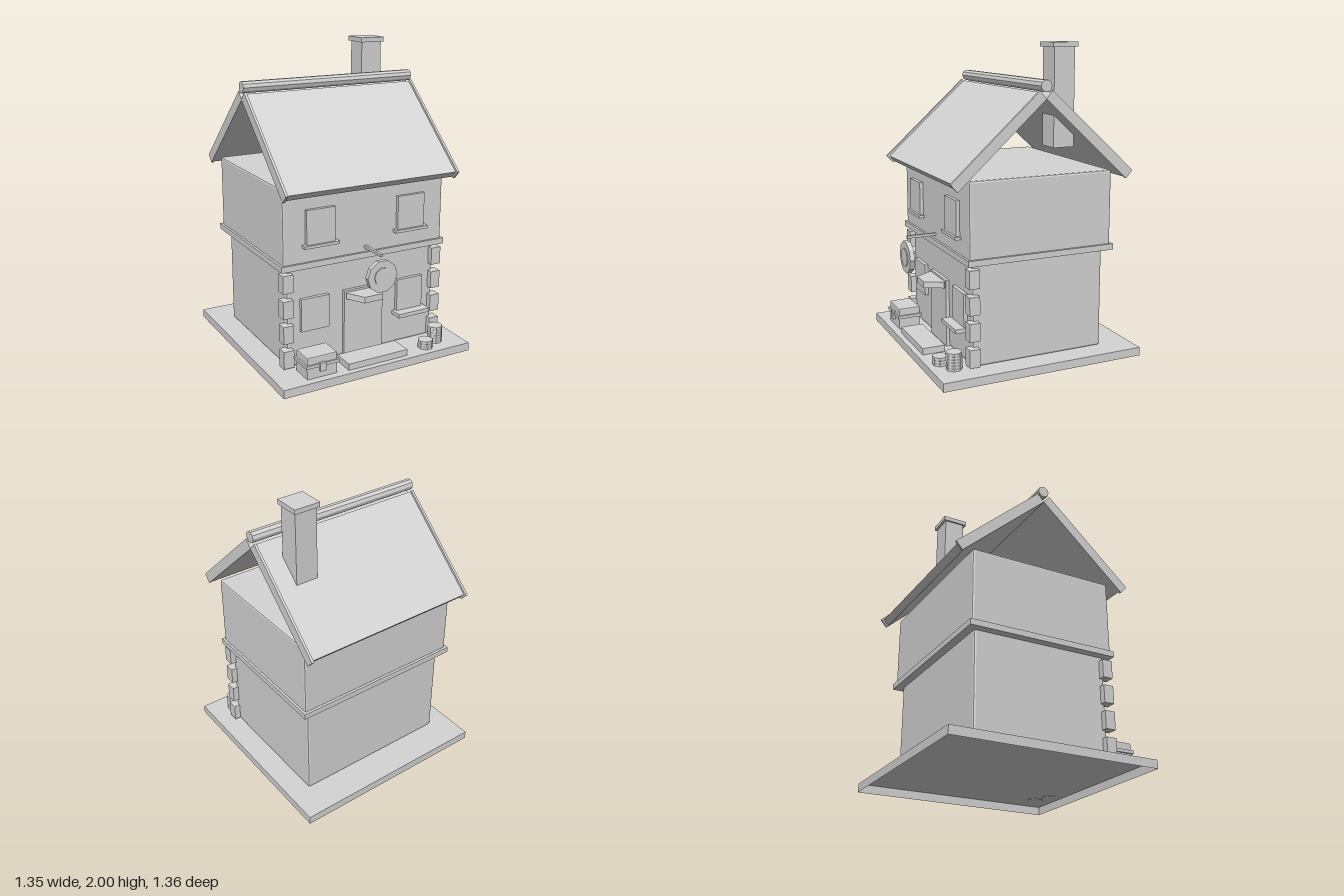
import * as THREE from 'three';
import { RoundedBoxGeometry } from 'three/addons/geometries/RoundedBoxGeometry.js';

export function createModel() {
  const house = new THREE.Group();
  house.name = 'house';
  const stone = new THREE.MeshStandardMaterial({ color: 0xd4d4d4, flatShading: true, side: THREE.DoubleSide });
  stone.name = 'paleGrey';
  const ZC = -0.017; // the house sits slightly behind the middle of its plinth

  const add = (name, geometry, x, y, z, parent = house) => {
    const mesh = new THREE.Mesh(geometry, stone);
    mesh.name = name;
    mesh.position.set(x, y, z);
    parent.add(mesh);
    return mesh;
  };
  // Box given by its limits on each axis; an optional chamfer cuts the edges
  const block = (name, x0, x1, y0, y1, z0, z1, chamfer = 0) => {
    const size = [x1 - x0, y1 - y0, z1 - z0];
    const geometry = chamfer
      ? new RoundedBoxGeometry(...size, 1, chamfer)
      : new THREE.BoxGeometry(...size);
    return add(name, geometry, (x0 + x1) / 2, (y0 + y1) / 2, (z0 + z1) / 2);
  };

  // Hollow plinth: a box without its bottom face (fourth face in the index)
  const plinth = new THREE.BoxGeometry(1.354, 0.055, 1.354);
  const faces = Array.from(plinth.index.array);
  faces.splice(18, 6);
  plinth.setIndex(faces);
  plinth.clearGroups();
  add('plinth', plinth, 0, 0.0275, 0);

  // Storeys
  block('groundFloor', -0.532, 0.532, 0.056, 0.715, -0.462, 0.428, 0.014);
  block('floorBand', -0.585, 0.585, 0.705, 0.743, -0.514, 0.477);
  block('upperFloor', -0.57, 0.57, 0.733, 1.215, -0.497, 0.463, 0.012);

  // Corner stones on the two front corners
  for (const side of [-1, 1]) {
    for (let i = 0; i < 4; i++) {
      add('cornerStone', new THREE.BoxGeometry(0.07, 0.115, 0.068), side * 0.538, 0.127 + i * 0.165, 0.432);
    }
  }

  // Two roof slopes with raised boards at the gable ends
  const pitch = Math.atan2(0.513, 0.567);
  for (const side of [-1, 1]) {
    const slope = new THREE.Group();
    slope.name = side > 0 ? 'frontRoof' : 'backRoof';
    slope.position.set(0, 1.443, ZC + side * 0.304);
    slope.rotation.x = side * pitch;
    house.add(slope);
    add('roofSlab', new THREE.BoxGeometry(1.18, 0.052, 0.753), 0, -0.007, side * -0.006, slope);
    for (const end of [-1, 1]) {
      add('gableBoard', new THREE.BoxGeometry(0.016, 0.066, 0.765), end * 0.598, 0, 0, slope);
    }
  }
  const ridge = new THREE.CylinderGeometry(0.037, 0.037, 1.212, 10);
  ridge.rotateZ(Math.PI / 2);
  add('ridgePole', ridge, 0, 1.751, ZC);

  // Chimney
  block('chimney', 0.317, 0.465, 1.36, 1.975, -0.282, -0.142);
  block('chimneyCap', 0.305, 0.477, 1.97, 2, -0.298, -0.126);

  // Windows and sills
  for (const x of [-0.323, 0.321]) {
    block('upperWindow', x - 0.098, x + 0.098, 0.85, 1.075, 0.45, 0.486);
    block('upperSill', x - 0.119, x + 0.119, 0.839, 0.857, 0.45, 0.502);
  }
  for (const x of [-0.347, 0.346]) {
    block('lowerWindow', x - 0.097, x + 0.097, 0.285, 0.5, 0.41, 0.452);
  }
  block('lowerSill', 0.228, 0.463, 0.26, 0.286, 0.41, 0.515);

  // Door, faceted canopy and step
  block('door', -0.142, 0.14, 0.056, 0.5, 0.41, 0.45);
  const canopy = new THREE.CylinderGeometry(0.132, 0.132, 0.04, 6);
  canopy.rotateY(Math.PI / 6);
  add('doorCanopy', canopy, 0, 0.467, 0.459);
  block('doorStep', -0.215, 0.215, 0.056, 0.098, 0.49, 0.64);

  // Hanging sign with a smaller raised disc
  block('signBracket', -0.009, 0.009, 0.767, 0.784, 0.45, 0.657);
  const disc = (radius, depth) => {
    const geometry = new THREE.CylinderGeometry(radius, radius, depth, 10);
    geometry.rotateX(Math.PI / 2);
    geometry.rotateZ(Math.PI / 2);
    return geometry;
  };
  add('signDisc', disc(0.105, 0.03), 0, 0.645, 0.657);
  add('signEmblem', disc(0.06, 0.034), 0, 0.645, 0.661);

  // Chest beside the door
  block('chestBody', -0.497, -0.291, 0.056, 0.14, 0.48, 0.628);
  block('chestLid', -0.497, -0.291, 0.13, 0.198, 0.48, 0.628, 0.007);
  block('chestRim', -0.508, -0.28, 0.13, 0.15, 0.47, 0.638);
  block('chestLatch', -0.415, -0.375, 0.1, 0.155, 0.62, 0.646);

  // Stacks of flat eight-sided discs, the lowest sunk into the plinth
  const stack = (x, z, count) => {
    for (let i = 0; i < count; i++) {
      const slice = new THREE.CylinderGeometry(0.05, 0.05, 0.018, 8);
      slice.rotateY(Math.PI / 8);
      add('stackedDisc', slice, x, 0.062 + i * 0.0192, z);
    }
  };
  stack(0.39, 0.588, 3);
  stack(0.497, 0.54, 6);

  return house;
}
